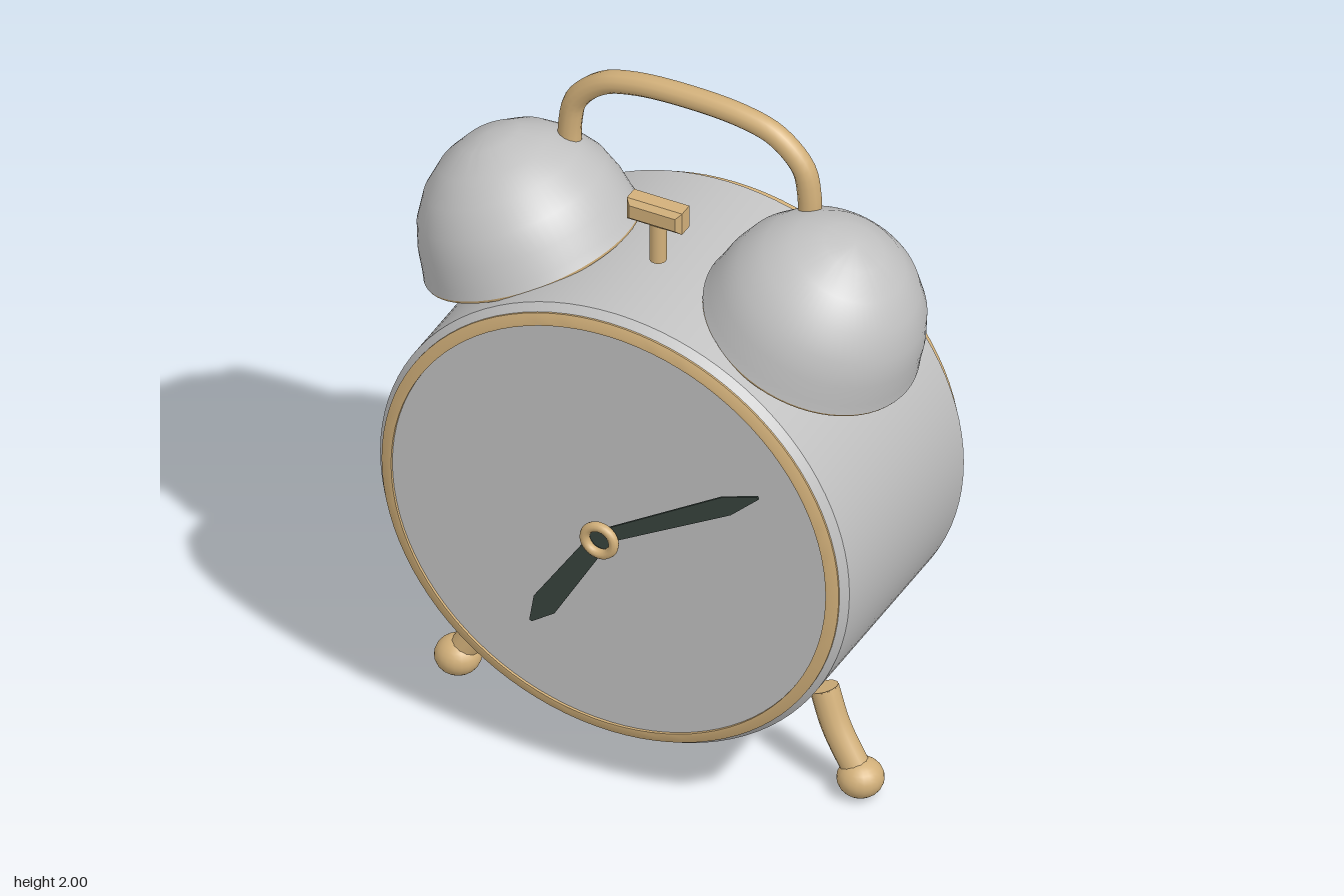
import * as THREE from 'three';
import { toCreasedNormals } from 'three/addons/utils/BufferGeometryUtils.js';

const material = (name, color) => {
  const m = new THREE.MeshStandardMaterial({ color });
  m.name = name;
  return m;
};

export function createModel() {
  const silver = material('silver', 0xc2c2c2);
  const gold = material('brass', 0xd2b07a);
  const dark = material('dark green', 0x38443e);
  const model = new THREE.Group();
  const CY = 0.856; // height of the dial centre

  const add = (name, geo, mat, parent = model, x = 0, y = 0, z = 0) => {
    const mesh = new THREE.Mesh(geo, mat);
    mesh.name = name;
    mesh.position.set(x, y, z);
    parent.add(mesh);
    return mesh;
  };
  // Surface of revolution about y, profile as [radius, height] from bottom to top
  const lathe = (pts, seg = 64) =>
    toCreasedNormals(new THREE.LatheGeometry(pts.map((p) => new THREE.Vector2(...p)), seg), 0.5);
  const tube = (pts, r, seg = 24) =>
    new THREE.TubeGeometry(new THREE.CatmullRomCurve3(pts.map((p) => new THREE.Vector3(...p))), seg, r, 12);

  // Drum-shaped case with trim rings, turned so its axis runs along z
  const body = new THREE.Group();
  body.name = 'case';
  body.position.y = CY;
  body.rotation.x = Math.PI / 2;
  body.scale.x = 1.018;
  model.add(body);
  add('drum', lathe([
    [0, -0.32], [0.655, -0.32], [0.685, -0.29], [0.685, 0.37], [0.66, 0.4], [0, 0.4],
  ], 96), silver, body);
  add('frontRing', lathe([
    [0.667, 0.385], [0.667, 0.397], [0.642, 0.408], [0.634, 0.408], [0.634, 0.398],
  ], 96), gold, body);
  add('backRing', lathe([[0.656, -0.315], [0.656, -0.333], [0.64, -0.333]].reverse(), 96), gold, body);
  add('backPlate', lathe([[0, -0.335], [0.647, -0.335], [0.647, -0.32]], 96), silver, body);

  // Hands: flat tapered plates, widest close to the tip
  const hand = (name, length, shoulder, base, wide, angle, z) => {
    const s = new THREE.Shape([
      [0, -base], [shoulder, -wide], [length, -0.004], [length, 0.004], [shoulder, wide], [0, base],
    ].map((p) => new THREE.Vector2(...p)));
    const geo = new THREE.ExtrudeGeometry(s, { depth: 0.007, bevelEnabled: false });
    add(name, geo, dark, model, 0, CY, z).rotation.z = angle;
  };
  hand('minuteHand', 0.54, 0.43, 0.02, 0.028, Math.atan2(0.28, 0.46), 0.436);
  hand('hourHand', 0.412, 0.335, 0.026, 0.036, Math.atan2(-0.35, -0.216), 0.43);
  const pin = add('handPin', new THREE.CylinderGeometry(0.036, 0.036, 0.012, 24), dark, model, 0, CY, 0.44);
  pin.rotation.x = Math.PI / 2;
  add('handHub', new THREE.TorusGeometry(0.043, 0.014, 10, 28), gold, model, 0, CY, 0.46);

  // Bells and legs, one pair on each side
  const dome = [
    [0.307, 0], [0.3, 0.03], [0.29, 0.09], [0.267, 0.16], [0.222, 0.23],
    [0.16, 0.286], [0.085, 0.325], [0, 0.339],
  ];
  for (const side of [-1, 1]) {
    const prefix = side > 0 ? 'left' : 'right';
    const bell = new THREE.Group();
    bell.name = prefix + 'Bell';
    bell.position.set(side * 0.415, 1.425, 0.04);
    bell.rotation.z = -side * 0.4;
    model.add(bell);
    add('bellShell', lathe(dome), silver, bell);
    // Inside lining, wound to face inward, ending in a thin lip
    const lining = dome.map(([r, h]) => [r * 0.96, h * 0.96]).reverse();
    add('bellLining', lathe([...lining, [0.305, -0.006], [0.308, 0.002]]), gold, bell);

    add(prefix + 'Leg', tube([
      [side * 0.478, 0.294, 0.09], [side * 0.519, 0.187, 0.1], [side * 0.59, 0.07, 0.112],
    ], 0.04), gold);
    const cap = add(prefix + 'LegCap', new THREE.CircleGeometry(0.04, 12), gold, model, side * 0.478, 0.294, 0.09);
    cap.lookAt(side * 0.447, 0.394, 0.085);
    const foot = add(prefix + 'Foot', new THREE.SphereGeometry(0.064, 20, 14), gold, model, side * 0.598, 0.055, 0.113);
    foot.scale.y = 0.86;
  }

  // Carrying handle joining the two bells
  const half = [[0.357, 1.69], [0.355, 1.77], [0.337, 1.85], [0.26, 1.927], [0.165, 1.957]];
  add('handle', tube([
    ...half.map(([x, y]) => [-x, y, -0.063]),
    [0, 1.968, -0.063],
    ...half.slice().reverse().map(([x, y]) => [x, y, -0.063]),
  ], 0.032, 48), gold);

  // Hammer between the bells
  add('hammerStem', new THREE.CylinderGeometry(0.023, 0.023, 0.13, 16), gold, model, 0, 1.622, 0.12);
  const headShape = new THREE.Shape([
    [-0.068, -0.02], [0.068, -0.02], [0.068, 0.02], [-0.068, 0.02],
  ].map((p) => new THREE.Vector2(...p)));
  const head = new THREE.ExtrudeGeometry(headShape, {
    depth: 0.042, bevelThickness: 0.014, bevelSize: 0.014, bevelSegments: 1,
  });
  add('hammerHead', head, gold, model, 0, 1.711, 0.099);

  // Winding key on the back: shaft and a pair of loops
  const shaft = add('keyShaft', new THREE.CylinderGeometry(0.022, 0.022, 0.15, 16), gold, model, 0, 0.868, -0.4);
  shaft.rotation.x = Math.PI / 2;
  for (const dy of [-0.061, 0.061]) {
    add('keyLoop', new THREE.TorusGeometry(0.045, 0.016, 10, 24), gold, model, 0.066, 0.868 + dy, -0.457);
  }
  const bar = add('keyBar', new THREE.CylinderGeometry(0.017, 0.017, 0.08, 12), gold, model, 0.02, 0.868, -0.457);
  bar.rotation.z = Math.PI / 2;

  return model;
}
